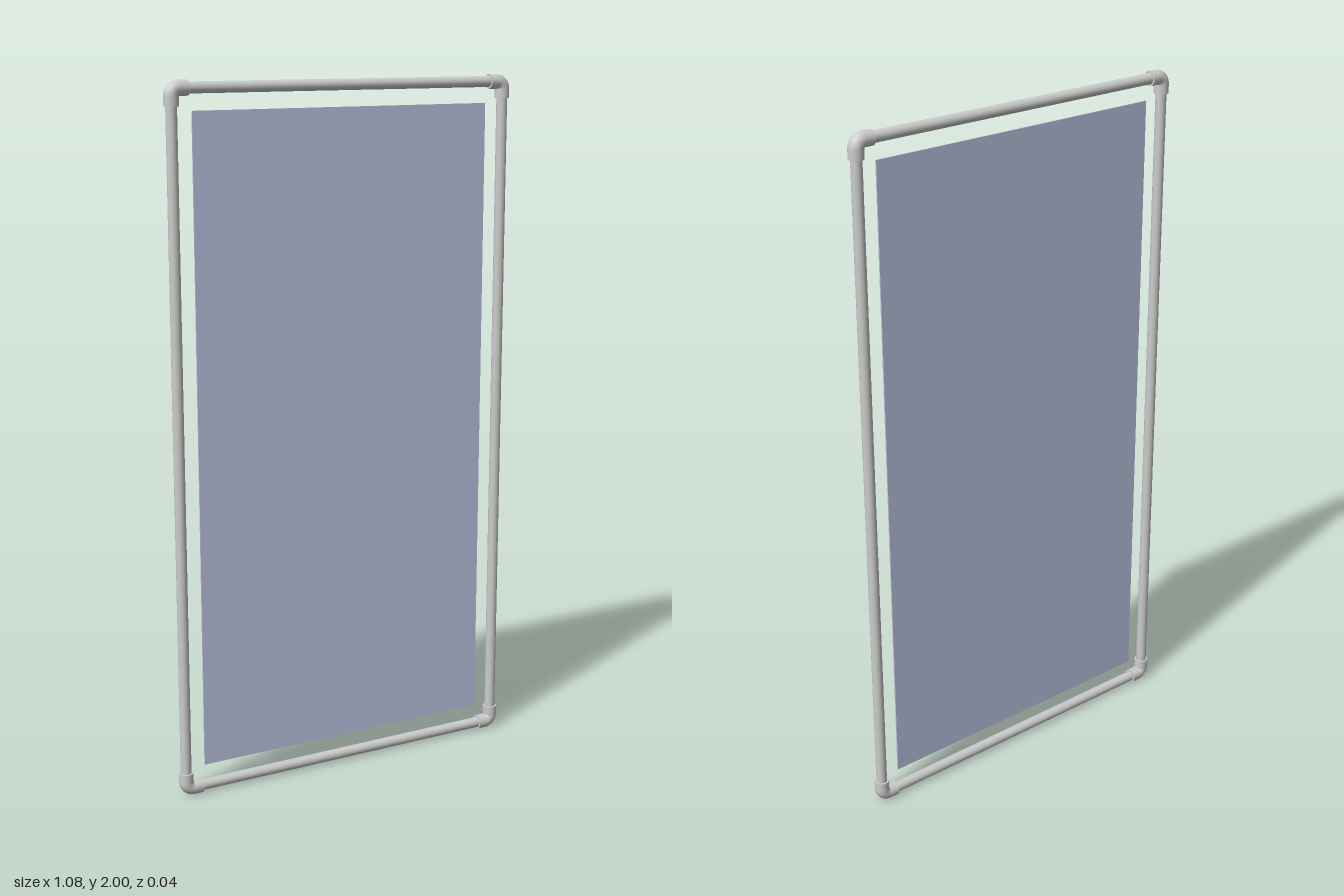
import * as THREE from 'three';

const GREY = new THREE.MeshStandardMaterial({ color: 0xcccccc });
const BLUE = new THREE.MeshStandardMaterial({ color: 0xbcc2e0 });
const CX = 0.517, CY = 0.979, MID = 1; // pipe centre lines
const PIPE_R = 0.0155, FIT_R = 0.021;
const BEND = 0.0215, REACH = 0.047;    // elbow bend radius and leg length

function add(parent, name, geometry, material, x = 0, y = 0) {
  const mesh = new THREE.Mesh(geometry, material);
  mesh.name = name;
  mesh.position.set(x, y, 0);
  parent.add(mesh);
  return mesh;
}

// Elbow whose centre lines meet at the origin, with legs along -x and -y
function createElbow() {
  const elbow = new THREE.Group();
  elbow.name = 'elbow';
  add(elbow, 'bend', new THREE.TorusGeometry(BEND, FIT_R, 24, 12, Math.PI / 2), GREY, -BEND, -BEND);
  const legLength = REACH - BEND, legMid = -(REACH + BEND) / 2;
  const leg = new THREE.CylinderGeometry(FIT_R, FIT_R, legLength, 24);
  add(elbow, 'verticalSocket', leg, GREY, 0, legMid);
  add(elbow, 'horizontalSocket', leg, GREY, legMid, 0).rotation.z = Math.PI / 2;
  return elbow;
}

export function createModel() {
  const model = new THREE.Group();
  model.name = 'framedScreen';

  // Straight pipes, ending inside the elbows
  const upright = new THREE.CylinderGeometry(PIPE_R, PIPE_R, 2 * (CY - 0.03), 24);
  const rail = new THREE.CylinderGeometry(PIPE_R, PIPE_R, 2 * (CX - 0.03), 24);
  for (const s of [-1, 1]) {
    add(model, s > 0 ? 'leftUpright' : 'rightUpright', upright, GREY, s * CX, MID);
    add(model, s > 0 ? 'topRail' : 'bottomRail', rail, GREY, 0, MID + s * CY).rotation.z = Math.PI / 2;
  }

  // Corner elbows, each a quarter turn on from the last
  [[1, 1], [-1, 1], [-1, -1], [1, -1]].forEach(([sx, sy], i) => {
    const elbow = createElbow();
    elbow.position.set(sx * CX, MID + sy * CY, 0);
    elbow.rotation.z = i * Math.PI / 2;
    model.add(elbow);
  });

  // Thin sheet inside the frame
  add(model, 'panel', new THREE.BoxGeometry(0.918, 1.838, 0.004), BLUE, 0, MID);
  return model;
}
